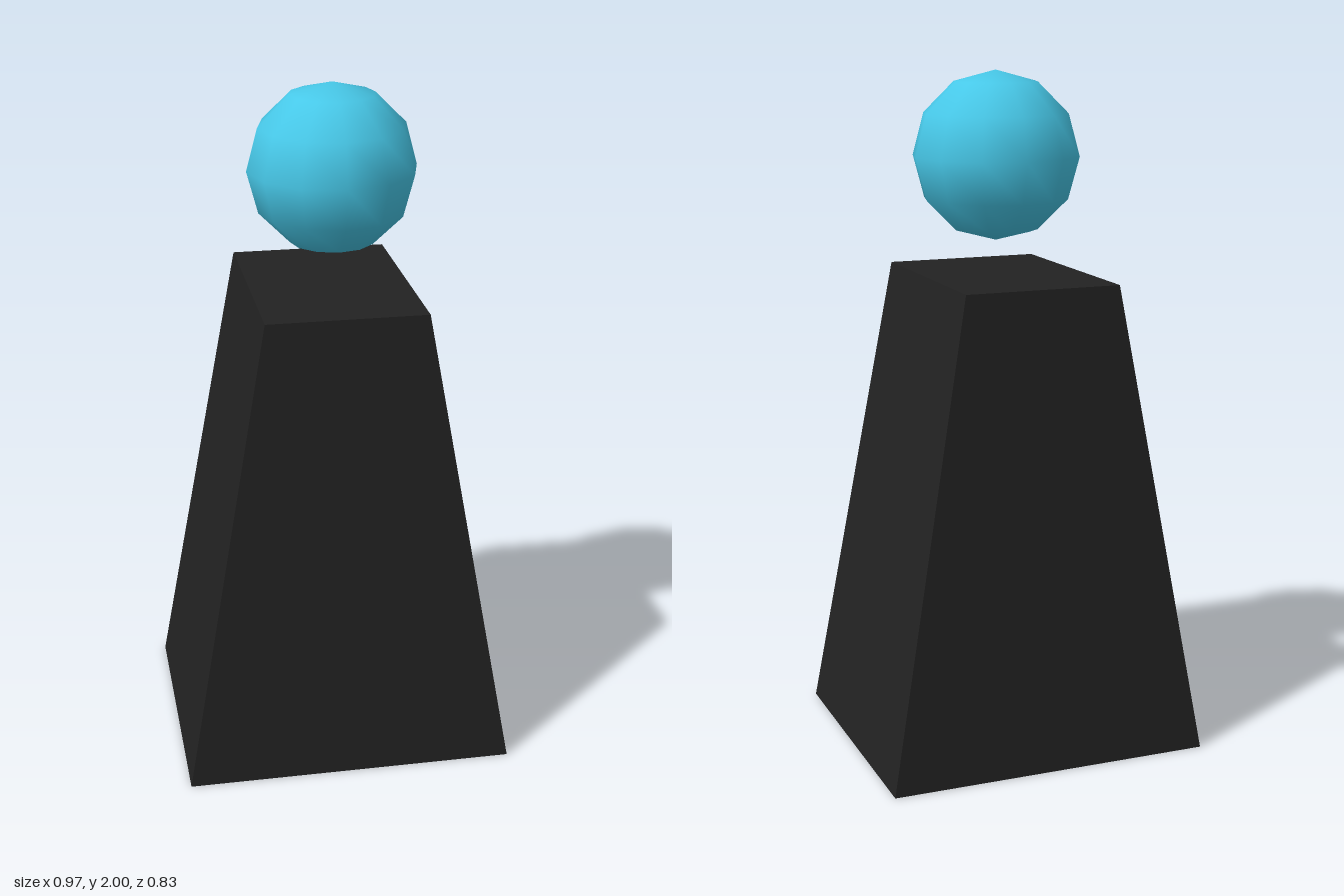
import * as THREE from 'three';

const HEIGHT = 1.41;
const BASE = { x: 0.483, z: 0.413 };
const TOP = { x: 0.232, z: 0.329 };

// Tapered box, open underneath
function taperedShell() {
  const geo = new THREE.BoxGeometry(2, HEIGHT, 2).translate(0, HEIGHT / 2, 0);
  const pos = geo.attributes.position;
  for (let i = 0; i < pos.count; i++) {
    const half = pos.getY(i) > HEIGHT / 2 ? TOP : BASE;
    pos.setX(i, pos.getX(i) * half.x);
    pos.setZ(i, pos.getZ(i) * half.z);
  }
  // drop the bottom face (fourth side of the box)
  const index = Array.from(geo.index.array);
  index.splice(18, 6);
  geo.setIndex(index);
  geo.clearGroups();
  geo.computeVertexNormals();
  return geo;
}

export function createModel() {
  const model = new THREE.Group();
  model.name = 'pawnFigure';

  const body = new THREE.Mesh(
    taperedShell(),
    new THREE.MeshStandardMaterial({ color: 0x222222, side: THREE.DoubleSide })
  );
  body.name = 'body';

  // Smooth-shaded, coarse ball floating above the body
  const head = new THREE.Mesh(
    new THREE.SphereGeometry(0.246, 12, 6),
    new THREE.MeshStandardMaterial({ color: 0x47c8e8 })
  );
  head.name = 'head';
  head.position.set(0.012, 1.754, 0.012);

  model.add(body, head);
  return model;
}
